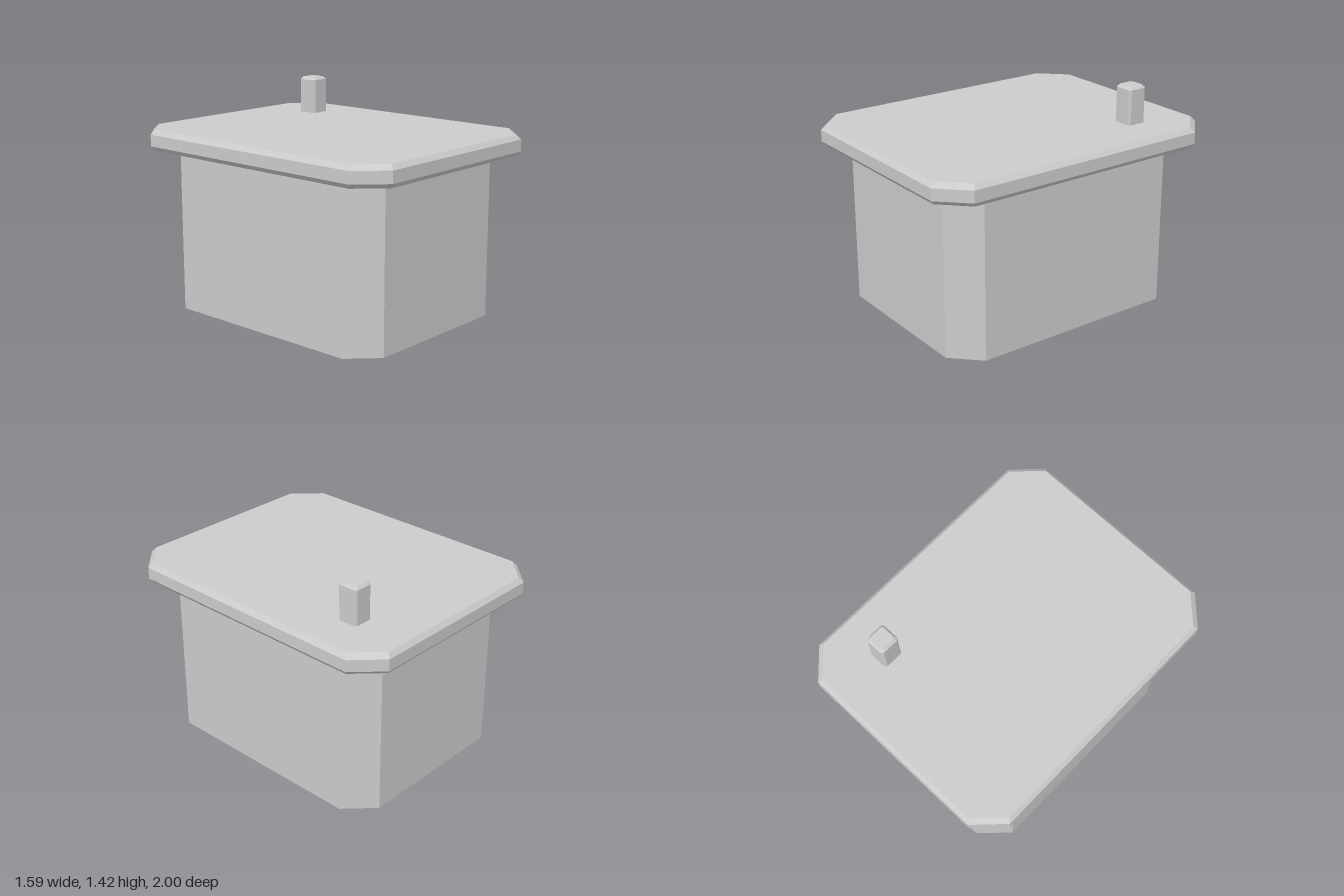
import * as THREE from 'three';

// Eight corner points of a rectangle with cut corners, seen from above.
function ring(halfX, halfZ, cut, y) {
  const x = halfX - cut, z = halfZ - cut;
  return [
    [halfX, z], [x, halfZ], [-x, halfZ], [-halfX, z],
    [-halfX, -z], [-x, -halfZ], [x, -halfZ], [halfX, -z],
  ].map(([px, pz]) => new THREE.Vector3(px, y, pz));
}

// Solid through cut-corner sections; levels are [y, inset] from bottom to top.
function cutCornerSolid(name, halfX, halfZ, cut, levels, material) {
  const rings = levels.map(([y, inset]) => ring(halfX - inset, halfZ - inset, cut - inset * 0.2, y));
  const points = [];
  for (let k = 0; k + 1 < rings.length; k++) {
    const low = rings[k], high = rings[k + 1];
    for (let i = 0; i < 8; i++) {
      const j = (i + 1) % 8;
      points.push(low[i], high[j], low[j], low[i], high[i], high[j]);
    }
  }
  // Bottom and top caps
  const bottom = rings[0], top = rings[rings.length - 1];
  for (let i = 1; i < 7; i++) {
    points.push(bottom[0], bottom[i], bottom[i + 1]);
    points.push(top[0], top[i + 1], top[i]);
  }
  const geometry = new THREE.BufferGeometry().setFromPoints(points);
  geometry.computeVertexNormals();
  const mesh = new THREE.Mesh(geometry, material);
  mesh.name = name;
  return mesh;
}

export function createModel() {
  const group = new THREE.Group();
  group.name = 'building';
  const grey = new THREE.MeshStandardMaterial({ color: 0xcccccc, flatShading: true });

  // Walls
  group.add(cutCornerSolid('walls', 0.68, 0.853, 0.17, [[0, 0], [1.05, 0]], grey));

  // Overhanging flat roof, bevelled above and below
  group.add(cutCornerSolid('roof', 0.797, 1, 0.17,
    [[1.04, 0.025], [1.07, 0], [1.145, 0], [1.175, 0.025]], grey));

  // Chimney near the back, with a bevelled top
  const chimney = cutCornerSolid('chimney', 0.068, 0.068, 0.015,
    [[1.16, 0], [1.4, 0], [1.416, 0.015]], grey);
  chimney.position.set(0.457, 0, -0.593);
  group.add(chimney);

  return group;
}
